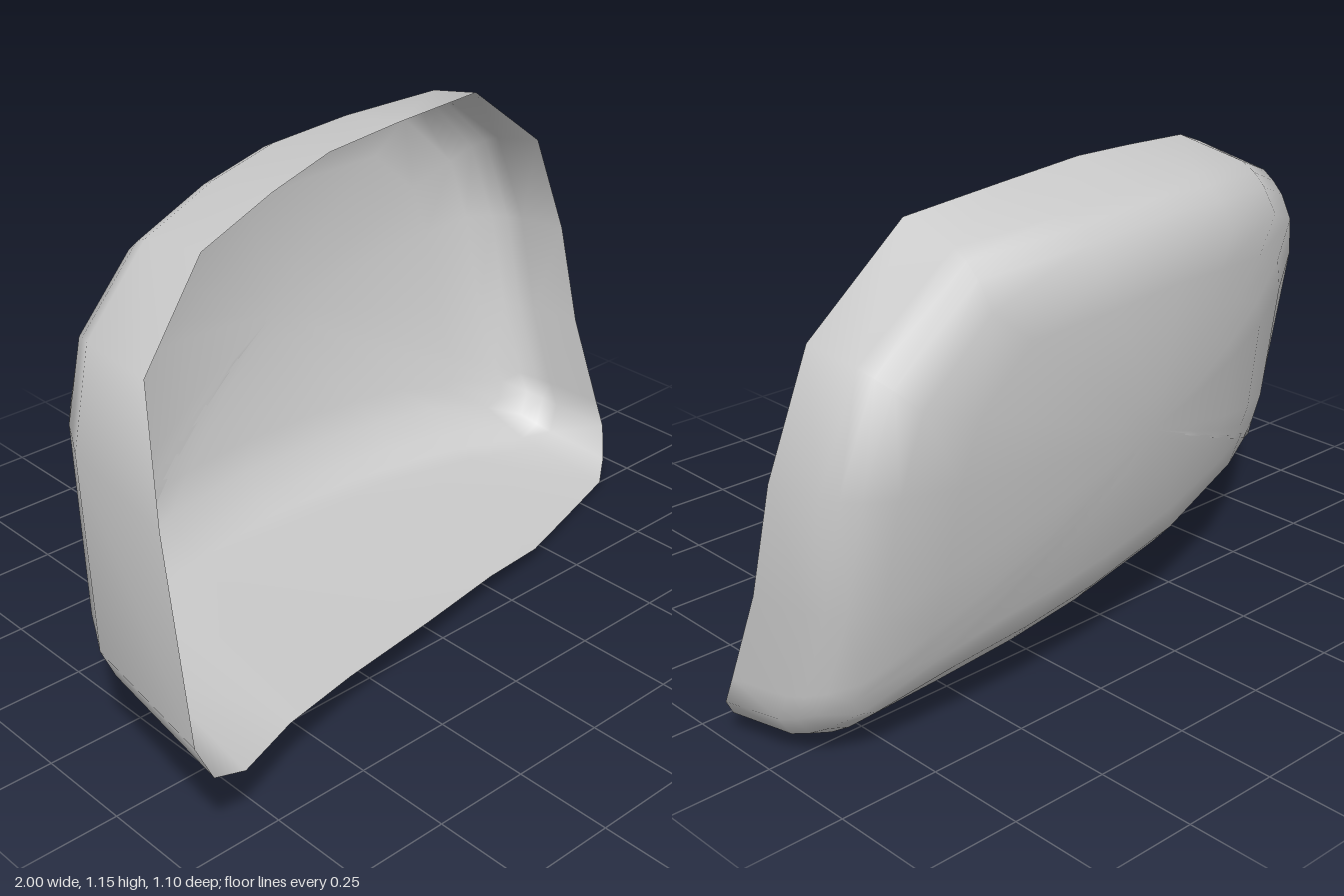
import * as THREE from 'three';

// Rim of the opening, counterclockwise seen from the front
const RIM = [
  [-1, .35, .55], [-.955, .255, .55], [-.85, .2, .52], [-.66, .18, .44], [-.42, .15, .37],
  [-.1, .113, .295], [.2, .08, .22], [.41, .055, .18], [.62, .03, .1], [.88, 0, 0],
  [.95, .03, -.05], [1, .1, -.1], [1, .17, -.13], [.995, .4, -.22], [.985, .67, -.28],
  [.89, .95, -.3], [.62, 1.15, -.28], [.3, 1.155, -.235], [.03, 1.155, -.19],
  [-.2, 1.13, -.13], [-.48, 1.09, -.04], [-.81, .975, .185], [-.94, .76, .39],
];
const CENTRE = [.1, .6];

// Depth of the curved back panel
function backZ(x, y) {
  const c = .5 - x, d = .87 - y;
  return -.555 + .17 * c * c + .04 * c ** 4 + .275 * d * d;
}

// Moves a rim point inward; the left side wall leans in more than the others
function inset([x, y], amount) {
  const dx = THREE.MathUtils.clamp(x, -.6, .7) - x;
  const dy = THREE.MathUtils.clamp(y, .3, .75) - y;
  const len = Math.hypot(dx, dy);
  const extra = x < -.7 ? .05 * Math.min(1, amount / .05) : 0;
  return [x + dx / len * (amount + extra), y + dy / len * amount];
}

function shellGeometry() {
  const rings = [RIM];
  // Side walls, then the rounded fold into the back panel
  for (const [amount, lift] of [[.03, .1], [.05, .065], [.08, .035], [.14, 0]]) {
    rings.push(RIM.map(p => {
      const [x, y] = inset(p, amount);
      return [x, y, Math.min(p[2], backZ(x, y) + lift)];
    }));
  }
  // Back panel, closing in on its centre
  const edge = rings[rings.length - 1];
  for (const t of [.2, .4, .6, .8]) {
    rings.push(edge.map(([px, py]) => {
      const x = THREE.MathUtils.lerp(px, CENTRE[0], t);
      const y = THREE.MathUtils.lerp(py, CENTRE[1], t);
      return [x, y, backZ(x, y)];
    }));
  }
  const n = RIM.length, index = [];
  const positions = [...rings.flat(), [...CENTRE, backZ(...CENTRE)]];
  for (let r = 0; r < rings.length; r++) {
    for (let i = 0; i < n; i++) {
      const a = r * n + i, b = r * n + (i + 1) % n;
      if (r === rings.length - 1) index.push(a, rings.length * n, b);
      else index.push(a, a + n, b, b, a + n, b + n);
    }
  }
  const geometry = new THREE.BufferGeometry();
  geometry.setAttribute('position', new THREE.Float32BufferAttribute(positions.flat(), 3));
  geometry.setIndex(index);
  geometry.computeVertexNormals();
  return geometry;
}

export function createModel() {
  const group = new THREE.Group();
  group.name = 'mirrorHousing';
  const material = new THREE.MeshStandardMaterial({ color: 0xcccccc, side: THREE.DoubleSide });
  const shell = new THREE.Mesh(shellGeometry(), material);
  shell.name = 'housingShell';
  group.add(shell);
  return group;
}
